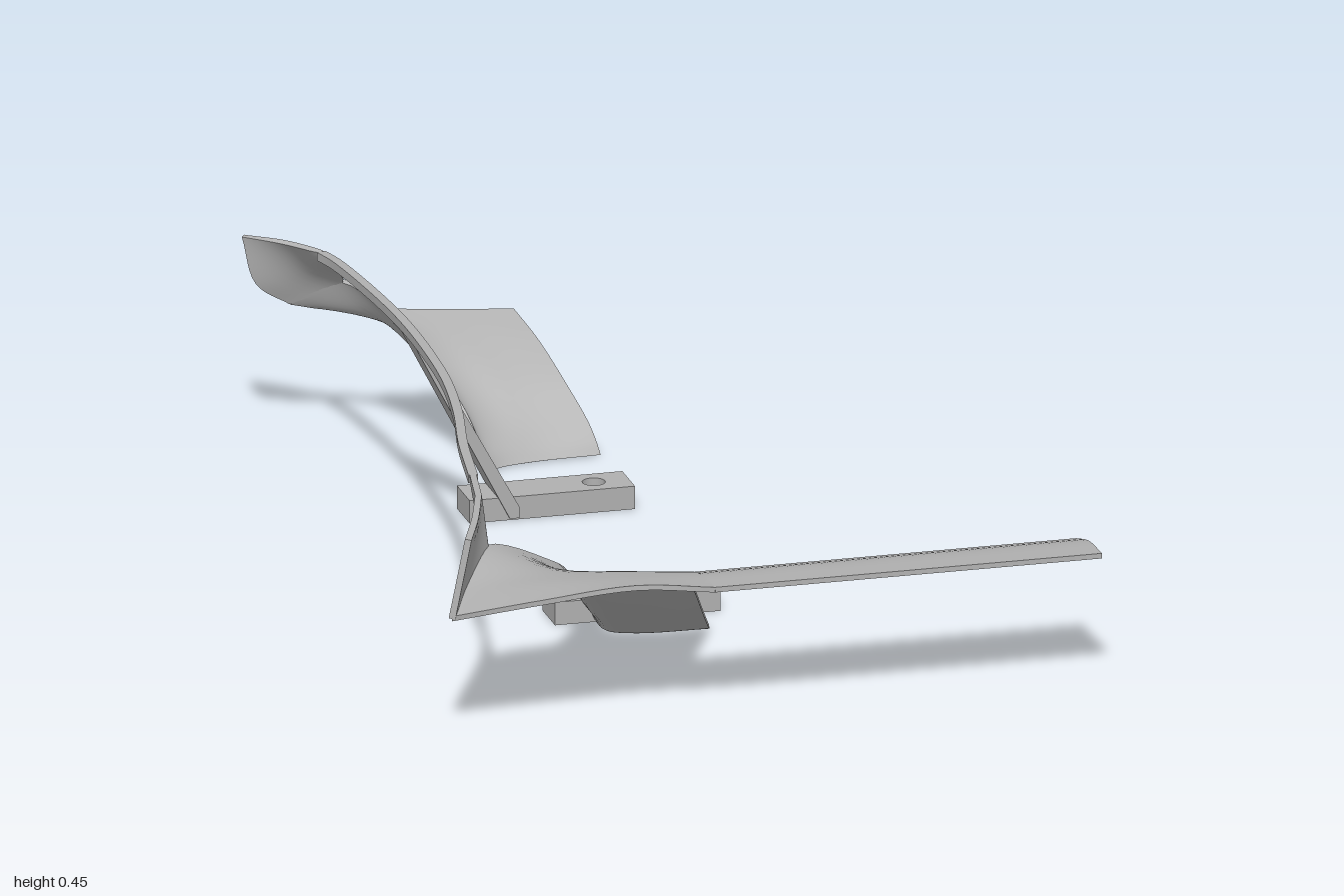
import * as THREE from 'three';

const metal = new THREE.MeshStandardMaterial({ color: 0xb0b0b0 });
metal.name = 'grey metal';

const V = (p) => new THREE.Vector3(...p);

// Smooth curve through a few points, sampled evenly per segment
function sample(points, steps = 6) {
  const curve = new THREE.CatmullRomCurve3(points);
  return curve.getPoints(steps * (points.length - 1));
}

// Curved plate of constant thickness through rows of control points
function plate(name, rows, thickness = 0.011) {
  const across = rows.map((r) => sample(r.map(V)));
  const columns = across[0].map((_, j) => sample(across.map((r) => r[j])));
  const nu = columns.length - 1;
  const nv = columns[0].length - 1;
  const pos = [];
  const index = [];
  const put = (p) => pos.push(p.x, Math.max(0, p.y), p.z) / 3 - 1;
  const quad = (a, b, c, d) => index.push(a, b, c, a, c, d);

  // two faces, offset along the surface normal
  const sides = [1, -1].map((s) => columns.map((col, i) => col.map((p, j) => {
    const du = columns[Math.min(i + 1, nu)][j].clone().sub(columns[Math.max(i - 1, 0)][j]);
    const dv = col[Math.min(j + 1, nv)].clone().sub(col[Math.max(j - 1, 0)]);
    return p.clone().addScaledVector(du.cross(dv).normalize(), (s * thickness) / 2);
  })));
  sides.forEach((grid, k) => {
    const id = grid.map((col) => col.map(put));
    for (let i = 0; i < nu; i++) {
      for (let j = 0; j < nv; j++) {
        const q = [id[i][j], id[i + 1][j], id[i + 1][j + 1], id[i][j + 1]];
        quad(...(k ? q.reverse() : q));
      }
    }
  });

  // rim closing the thickness
  const loop = [];
  for (let i = 0; i < nu; i++) loop.push([i, 0]);
  for (let j = 0; j < nv; j++) loop.push([nu, j]);
  for (let i = nu; i > 0; i--) loop.push([i, nv]);
  for (let j = nv; j > 0; j--) loop.push([0, j]);
  loop.forEach(([i, j], n) => {
    const [k, l] = loop[(n + 1) % loop.length];
    const [top, low] = sides;
    quad(put(low[i][j]), put(low[k][l]), put(top[k][l]), put(top[i][j]));
  });

  const geo = new THREE.BufferGeometry();
  geo.setAttribute('position', new THREE.Float32BufferAttribute(pos, 3));
  geo.setIndex(index);
  geo.computeVertexNormals();
  return named(name, geo);
}

function named(name, geo) {
  const mesh = new THREE.Mesh(geo, metal);
  mesh.name = name;
  return mesh;
}

// Mounting foot with a round bolt hole
function foot(name, z) {
  const shape = new THREE.Shape();
  shape.moveTo(-0.285, -0.05).lineTo(0.07, -0.05).lineTo(0.07, 0.05).lineTo(-0.285, 0.05);
  const hole = new THREE.Path();
  hole.absarc(-0.005, 0, 0.024, 0, Math.PI * 2, true);
  shape.holes.push(hole);
  const geo = new THREE.ExtrudeGeometry(shape, { depth: 0.05, bevelEnabled: false, curveSegments: 24 });
  geo.rotateX(-Math.PI / 2);
  geo.translate(0, 0, z);
  return named(name, geo);
}

export function createModel() {
  const model = new THREE.Group();
  model.name = 'frame';

  // Long front arm, bending down toward the back
  model.add(plate('frontArm', [
    [[0.7, 0.293, 1], [-0.13, 0.293, 1]],
    [[0.7, 0.287, 0.9], [-0.13, 0.287, 0.9]],
    [[0.7, 0.26, 0.8], [-0.13, 0.26, 0.8]],
  ]));

  // Front corner sweeping down into a flanged leg
  model.add(plate('frontLeg', [
    [[-0.13, 0.293, 1], [-0.3, 0.312, 1], [-0.5, 0.298, 1], [-0.695, 0.28, 1]],
    [[-0.13, 0.287, 0.9], [-0.28, 0.297, 0.9], [-0.47, 0.3, 0.88], [-0.635, 0.3, 0.87]],
    [[-0.13, 0.26, 0.8], [-0.25, 0.265, 0.78], [-0.4, 0.278, 0.76], [-0.55, 0.335, 0.73]],
    [[-0.074, 0.16, 0.65], [-0.19, 0.16, 0.64], [-0.3, 0.175, 0.62], [-0.38, 0.25, 0.62]],
    [[-0.025, 0.075, 0.52], [-0.15, 0.075, 0.51], [-0.245, 0.085, 0.48], [-0.3, 0.165, 0.475]],
    [[0.005, 0.025, 0.44], [-0.14, 0.025, 0.43], [-0.205, 0.03, 0.4], [-0.22, 0.06, 0.3]],
    [[0.02, 0, 0.4], [-0.13, 0, 0.39], [-0.185, 0, 0.36], [-0.19, 0, 0.27]],
  ]));

  // Upright wall at the front corner, tapering to the rail
  model.add(plate('frontWall', [
    [[-0.695, 0.28, 1], [-0.66, 0.45, 1]],
    [[-0.635, 0.3, 0.87], [-0.61, 0.45, 0.87]],
    [[-0.55, 0.335, 0.73], [-0.565, 0.45, 0.73]],
  ], 0.014));
  model.add(plate('frontWallGusset', [
    [[-0.55, 0.335, 0.73], [-0.565, 0.45, 0.73]],
    [[-0.541, 0.435, 0.6], [-0.541, 0.45, 0.6]],
  ], 0.014));

  // Long thin top rail
  const railPath = [
    [-0.541, 0.6], [-0.508, 0.4], [-0.465, 0.2], [-0.435, 0], [-0.422, -0.2],
    [-0.42, -0.4], [-0.432, -0.6], [-0.455, -0.8], [-0.47, -0.86],
  ];
  model.add(plate('topRail', railPath.map(([x, z]) => [[x, 0.432, z], [x, 0.45, z]]), 0.02));

  // Flared wall at the rear corner
  model.add(plate('rearWall', [
    [[-0.465, 0.432, -0.86], [-0.468, 0.441, -0.86], [-0.47, 0.45, -0.86]],
    [[-0.4, 0.35, -0.95], [-0.475, 0.385, -0.95], [-0.53, 0.45, -0.94]],
    [[-0.5, 0.295, -1], [-0.572, 0.345, -1], [-0.6, 0.45, -1]],
  ]));

  // Rear flanged leg
  model.add(plate('rearLeg', [
    [[-0.02, 0.235, -1], [-0.2, 0.25, -1], [-0.33, 0.265, -1], [-0.43, 0.28, -1], [-0.5, 0.295, -1]],
    [[0.012, 0.19, -0.92], [-0.13, 0.2, -0.93], [-0.23, 0.22, -0.94], [-0.33, 0.27, -0.95], [-0.4, 0.35, -0.95]],
    [[0.045, 0.125, -0.83], [-0.08, 0.13, -0.84], [-0.18, 0.15, -0.86], [-0.25, 0.2, -0.88], [-0.3, 0.27, -0.88]],
    [[0.075, 0.06, -0.765], [-0.06, 0.06, -0.765], [-0.14, 0.07, -0.765], [-0.185, 0.1, -0.765], [-0.205, 0.13, -0.75]],
    [[0.085, 0.025, -0.735], [-0.06, 0.025, -0.73], [-0.14, 0.03, -0.715], [-0.17, 0.04, -0.7], [-0.18, 0.05, -0.67]],
    [[0.09, 0, -0.72], [-0.06, 0, -0.71], [-0.14, 0, -0.69], [-0.165, 0, -0.66], [-0.17, 0, -0.59]],
  ]));

  // Sloping strut from the rail down to the rear foot
  const strut = new THREE.Shape();
  strut.moveTo(-0.425, 0.44).lineTo(-0.2, 0.005).lineTo(-0.18, 0.005).lineTo(-0.18, 0.03).lineTo(-0.405, 0.44);
  const strutGeo = new THREE.ExtrudeGeometry(strut, { depth: 0.114, bevelEnabled: false });
  strutGeo.translate(0, 0, -0.477);
  model.add(named('strut', strutGeo));

  model.add(foot('frontFoot', 0.255), foot('rearFoot', -0.42));
  return model;
}
